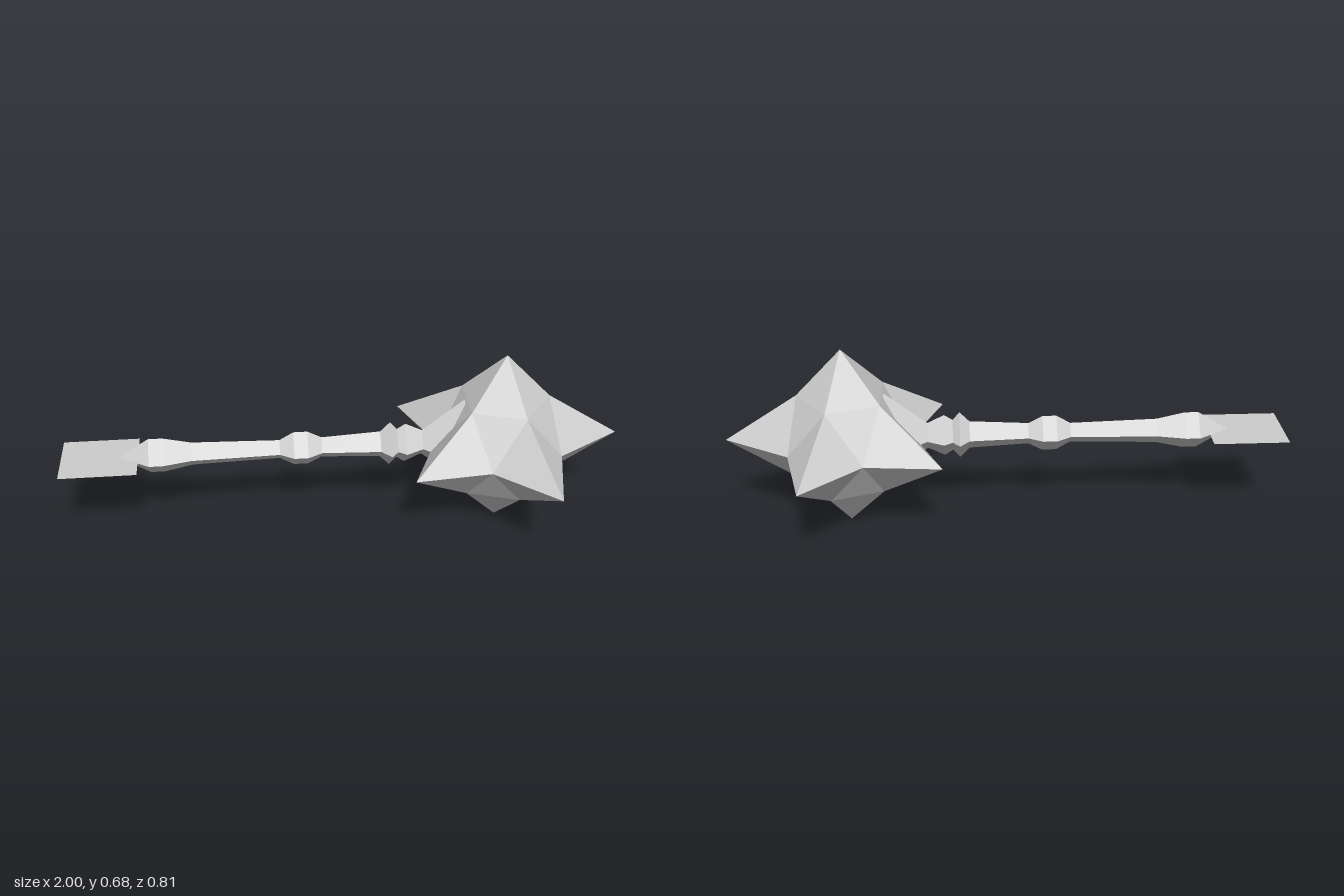
import * as THREE from 'three';

const AXIS_Y = 0.342;

export function createModel() {
  const group = new THREE.Group();
  const grey = new THREE.MeshStandardMaterial({ color: 0xcccccc, flatShading: true, side: THREE.DoubleSide });
  grey.name = 'light grey metal';

  const add = (name, geometry, x) => {
    const mesh = new THREE.Mesh(geometry, grey);
    mesh.name = name;
    mesh.position.set(x, AXIS_Y, 0);
    group.add(mesh);
  };

  // Four-sided handle: pommel, grip, middle knob, collars and the flare into the head
  const profile = [
    [-0.8, 0], [-0.69, 0.07], [-0.64, 0.07], [-0.54, 0.047], [-0.23, 0.038],
    [-0.18, 0.068], [-0.13, 0.068], [-0.08, 0.041], [0.13, 0.053], [0.165, 0.09],
    [0.19, 0.06], [0.22, 0.08], [0.28, 0.05], [0.43, 0.17],
  ].map(([x, r]) => new THREE.Vector2(r, x));
  const handle = new THREE.LatheGeometry(profile, 4).toNonIndexed();
  handle.rotateZ(-Math.PI / 2);
  handle.computeVertexNormals();
  add('handle', handle, 0);

  // Star head: five spikes around, one above and one below
  add('spikedHead', starHead(0.425, 0.34), 0.57);

  // Flat square plate at the pommel
  const plate = new THREE.PlaneGeometry(0.27, 0.23);
  plate.rotateX(-Math.PI / 2);
  add('pommelPlate', plate, -0.865);

  return group;
}

// Five-sided double pyramid with every edge pinched inward at its middle
function starHead(radius, height) {
  const tips = [0, 1, 2, 3, 4].map((i) => {
    const a = (i * Math.PI * 2) / 5;
    // the side spikes lie slightly wide of an even ring
    return new THREE.Vector3(Math.cos(a) * radius, 0, Math.sin(a) * radius);
  });
  const pinch = (a, b, s) => {
    const m = a.clone().add(b).multiplyScalar(0.5);
    m.x *= s;
    m.z *= s;
    return m;
  };
  const out = [];
  const face = (a, b, c) => {
    const n = b.clone().sub(a).cross(c.clone().sub(a));
    const mid = a.clone().add(b).add(c);
    const order = n.dot(mid) > 0 ? [a, b, c] : [a, c, b];
    order.forEach((p) => out.push(p.x, p.y, p.z));
  };
  for (const side of [1, -1]) {
    const peak = new THREE.Vector3(0, side * height, 0);
    tips.forEach((p, i) => {
      const q = tips[(i + 1) % 5];
      const mp = pinch(peak, p, 0.77);
      const mq = pinch(peak, q, 0.77);
      const valley = pinch(p, q, 0.69);
      face(peak, mp, mq);
      face(p, valley, mp);
      face(q, mq, valley);
      face(mp, valley, mq);
    });
  }
  const geometry = new THREE.BufferGeometry();
  geometry.setAttribute('position', new THREE.Float32BufferAttribute(out, 3));
  geometry.computeVertexNormals();
  return geometry;
}
